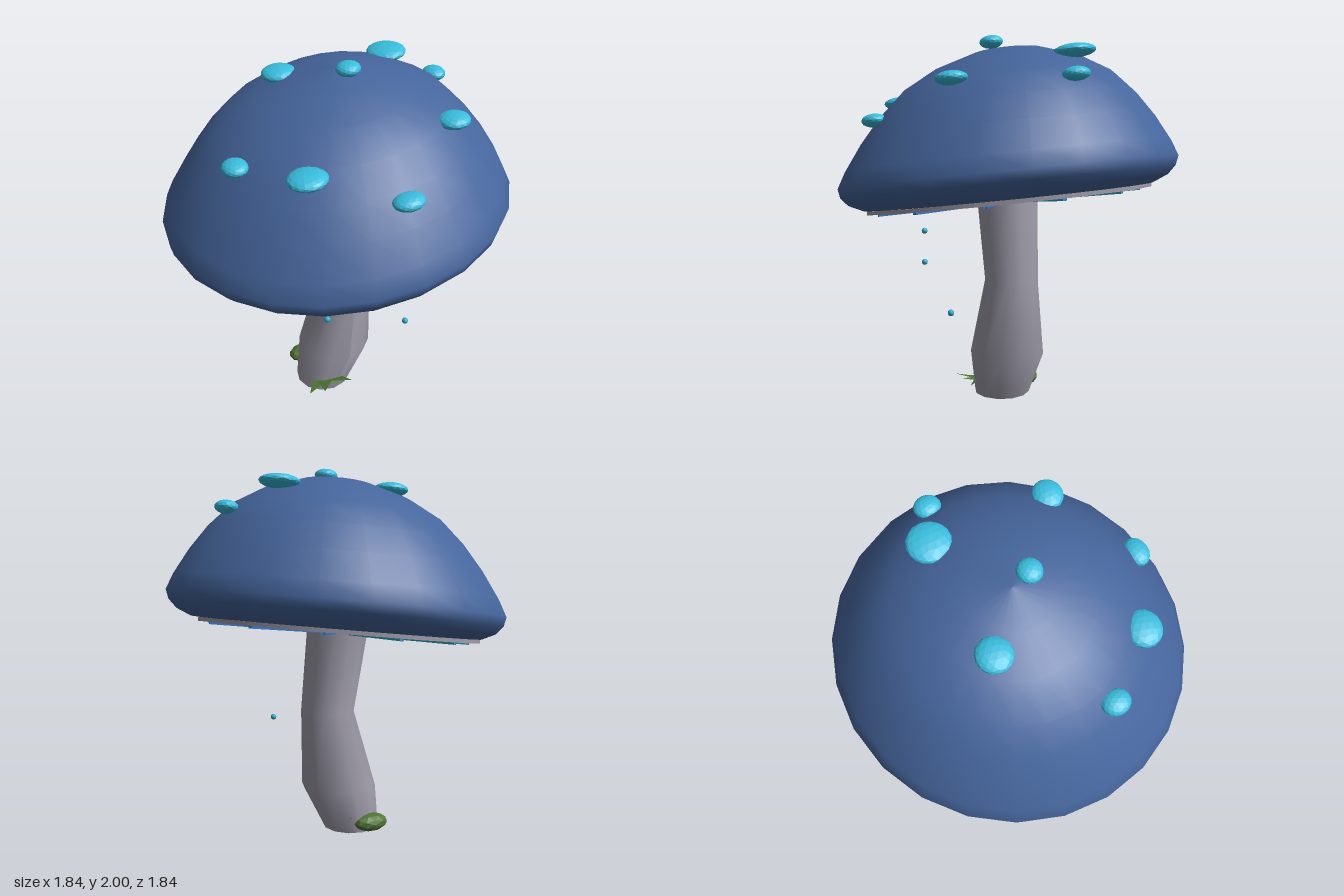
import * as THREE from 'three';

const mat = (name, color, extra = {}) => {
  const m = new THREE.MeshStandardMaterial({ color, ...extra });
  m.name = name;
  return m;
};

export function createModel() {
  const model = new THREE.Group();
  model.name = 'mushroom';
  const capBlue = mat('cap blue', 0x45659c);
  const stemGrey = mat('stem grey', 0xa09dab);
  const spotTeal = mat('spot teal', 0x38bddd, { flatShading: true });
  const gillTeal = mat('gill teal', 0x2fa9c8);
  const gillBlue = mat('gill blue', 0x3a72c4);
  const mossGreen = mat('moss green', 0x4f7534, { flatShading: true, side: THREE.DoubleSide });

  const add = (name, geo, material, parent = model) => {
    const mesh = new THREE.Mesh(geo, material);
    mesh.name = name;
    parent.add(mesh);
    return mesh;
  };

  // The whole cap leans: up towards +x, down towards the front
  const lean = new THREE.Matrix4().set(
    1, 0, 0, 0,
    0.12, 1, -0.06, 1.27,
    0, 0, 1, 0,
    0, 0, 0, 1);
  const capGroup = new THREE.Group();
  capGroup.name = 'capGroup';
  model.add(capGroup);

  // Cap
  const profile = [
    [0, -0.13], [0.62, -0.14], [0.79, -0.13], [0.865, -0.095], [0.905, -0.05], [0.918, 0],
    [0.878, 0.085], [0.79, 0.225], [0.69, 0.355], [0.57, 0.475], [0.4, 0.575], [0.2, 0.645], [0, 0.678],
  ].map(([r, y]) => new THREE.Vector2(r, y));
  add('cap', new THREE.LatheGeometry(profile, 24).applyMatrix4(lean), capBlue, capGroup);

  // Underside disc with twelve gills
  add('underside', new THREE.CylinderGeometry(0.78, 0.78, 0.02, 12).translate(0, -0.142, 0).applyMatrix4(lean),
    stemGrey, capGroup);
  for (let i = 0; i < 12; i++) {
    const a = (i / 12) * Math.PI * 2;
    [[gillTeal, 0.005], [gillBlue, -0.005]].forEach(([m, z]) => {
      const gill = new THREE.BoxGeometry(0.58, 0.02, 0.01).translate(0.43, -0.155, z).rotateY(a);
      add('gill', gill.applyMatrix4(lean), m, capGroup);
    });
  }

  // Cap spots: x, y, z, half width, half depth
  [
    [0.02, 1.967, 0.1, 0.063, 0.063],
    [-0.21, 1.88, -0.22, 0.09, 0.09],
    [0.405, 1.905, -0.2, 0.105, 0.11],
    [0.645, 1.78, -0.09, 0.06, 0.07],
    [-0.615, 1.62, 0.185, 0.065, 0.075],
    [-0.385, 1.648, 0.49, 0.098, 0.095],
    [0.412, 1.76, 0.45, 0.082, 0.08],
    [0, 1.557, 0.73, 0.08, 0.065],
  ].forEach(([x, y, z, w, d], i) => {
    const spot = new THREE.IcosahedronGeometry(1, 2).rotateY(i * 1.3).scale(w, 0.035, d);
    const mesh = add('spot', spot, spotTeal, capGroup);
    mesh.position.set(x, y, z);
    mesh.rotation.set(0.06, 0, 0.1);
  });

  // Crooked stem: y, centre x, radius of each ring
  const rings = [[0, -0.085, 0.157], [0.25, -0.008, 0.207], [0.68, 0.06, 0.147], [1.16, -0.005, 0.17]];
  const stem = new THREE.CylinderGeometry(1, 1, 3, 12, 3);
  const p = stem.attributes.position;
  for (let i = 0; i < p.count; i++) {
    const [y, cx, r] = rings[Math.round(p.getY(i) + 1.5)];
    p.setXYZ(i, cx + p.getX(i) * r, y, p.getZ(i) * r);
  }
  stem.computeVertexNormals();
  add('stem', stem, stemGrey);

  // Falling drops
  [[-0.245, 0.935], [-0.25, 0.755], [0.23, 0.575]].forEach(([x, y]) => {
    add('drop', new THREE.SphereGeometry(0.017, 12, 8), gillTeal).position.set(x, y, 0.405);
  });

  // Moss clump behind the base
  const moss = add('mossClump', new THREE.IcosahedronGeometry(1, 1).scale(0.1, 0.05, 0.065), mossGreen);
  moss.position.set(-0.13, 0.058, -0.165);

  // Thin leaf blades around the base: left root, right root, tip
  [
    [[-0.2, 0.06, 0.1], [-0.12, 0.075, 0.15], [-0.26, 0.055, 0.19]],
    [[-0.18, 0.065, 0.12], [-0.08, 0.085, 0.15], [-0.19, 0.095, 0.25]],
    [[-0.16, 0.07, 0.14], [-0.05, 0.085, 0.15], [-0.02, 0.122, 0.262]],
    [[-0.15, 0.07, 0.14], [-0.08, 0.07, 0.15], [-0.065, 0.055, 0.2]],
    [[-0.1, 0.1, -0.14], [-0.04, 0.085, -0.14], [0.02, 0.1, -0.18]],
  ].forEach((corners) => {
    const geo = new THREE.BufferGeometry().setFromPoints(corners.map((c) => new THREE.Vector3(...c)));
    geo.computeVertexNormals();
    add('leafBlade', geo, mossGreen);
  });

  return model;
}
